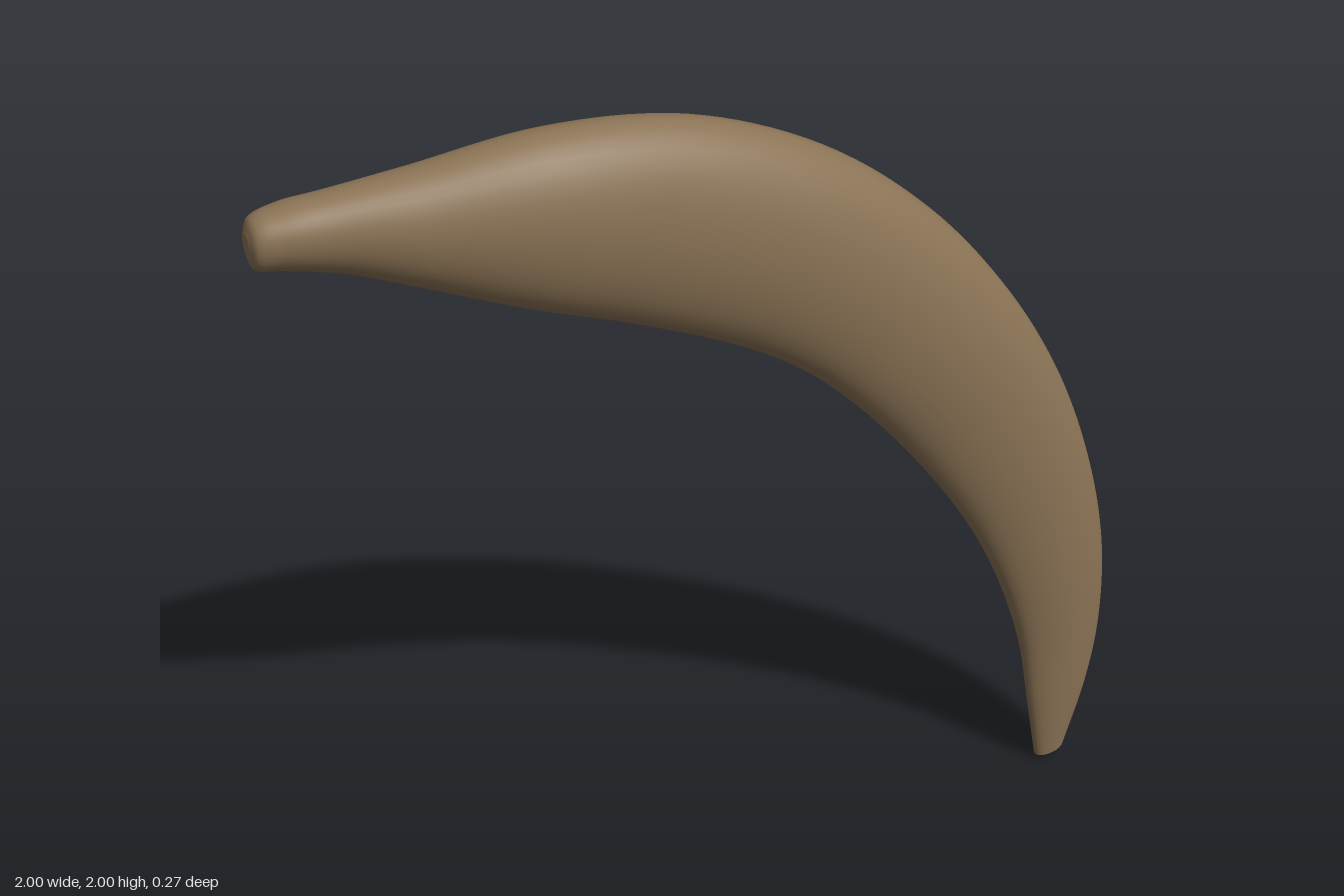
import * as THREE from 'three';

// Sections from the blunt root to the tip:
// outer edge x, y, inner edge x, y, depth centre z, half thickness
const SECTIONS = [
  [-1.0, 1.885, -1.0, 1.835, -0.078, 0.02],
  [-0.985, 1.915, -0.99, 1.81, -0.077, 0.045],
  [-0.93, 1.932, -0.94, 1.8, -0.075, 0.06],
  [-0.84, 1.943, -0.82, 1.77, -0.065, 0.07],
  [-0.68, 1.963, -0.67, 1.71, -0.048, 0.088],
  [-0.4, 2.0, -0.46, 1.625, -0.02, 0.11],
  [-0.1, 1.97, -0.24, 1.542, -0.01, 0.118],
  [0.2, 1.85, 0, 1.435, 0.007, 0.117],
  [0.45, 1.66, 0.15, 1.34, 0.022, 0.11],
  [0.65, 1.43, 0.29, 1.21, 0.032, 0.102],
  [0.81, 1.17, 0.45, 1.02, 0.034, 0.091],
  [0.92, 0.9, 0.6, 0.8, 0.034, 0.08],
  [0.98, 0.65, 0.7, 0.6, 0.034, 0.07],
  [0.995, 0.42, 0.77, 0.4, 0.034, 0.056],
  [0.975, 0.23, 0.81, 0.21, 0.033, 0.043],
  [0.93, 0.04, 0.85, 0.015, 0.03, 0.027],
];
const RINGS = 120;
const SIDES = 40;

function meshGeometry(points, index) {
  const geometry = new THREE.BufferGeometry();
  geometry.setAttribute('position', new THREE.Float32BufferAttribute(points, 3));
  geometry.setIndex(index);
  geometry.computeVertexNormals();
  return geometry;
}

export function createModel() {
  const group = new THREE.Group();
  group.name = 'curvedTusk';
  const brown = new THREE.MeshStandardMaterial({ color: 0x8b7355 });
  brown.name = 'dull brown';

  // Paired curves carry the edges, depth and thickness along the tusk
  const outer = new THREE.CatmullRomCurve3(SECTIONS.map(s => new THREE.Vector3(s[0], s[1], s[4])));
  const inner = new THREE.CatmullRomCurve3(SECTIONS.map(s => new THREE.Vector3(s[2], s[3], s[5])));

  const ringAt = t => {
    const o = outer.getPoint(t), n = inner.getPoint(t);
    const ring = [];
    for (let j = 0; j < SIDES; j++) {
      const a = (j / SIDES) * Math.PI * 2;
      const k = (1 + Math.cos(a)) / 2;
      // Slightly fuller towards the outer edge
      const depth = n.z * Math.sin(a) * (1 + 0.1 * Math.cos(a));
      ring.push(n.x + (o.x - n.x) * k, n.y + (o.y - n.y) * k, o.z + depth);
    }
    return ring;
  };

  // Body, closed by a rounded root
  const points = [], index = [];
  for (let i = 0; i <= RINGS; i++) points.push(...ringAt(i / RINGS));
  for (let i = 0; i < RINGS; i++) {
    for (let j = 0; j < SIDES; j++) {
      const k = (j + 1) % SIDES;
      const a = i * SIDES + j, b = i * SIDES + k;
      index.push(a, b, a + SIDES, b, b + SIDES, a + SIDES);
    }
  }
  const root = points.length / 3;
  points.push(-1.002, 1.86, -0.078);
  for (let j = 0; j < SIDES; j++) index.push(root, (j + 1) % SIDES, j);
  const body = new THREE.Mesh(meshGeometry(points, index), brown);
  body.name = 'body';
  group.add(body);

  // Blunt broken tip, hollowed a little in the middle
  const rim = ringAt(1), capIndex = [];
  rim.push(0.893, 0.05, 0.03);
  for (let j = 0; j < SIDES; j++) capIndex.push(SIDES, j, (j + 1) % SIDES);
  const tip = new THREE.Mesh(meshGeometry(rim, capIndex), brown);
  tip.name = 'brokenTip';
  group.add(tip);

  // Small splinter beside the break
  const splinter = new THREE.Mesh(new THREE.ConeGeometry(0.018, 0.06, 8), brown);
  splinter.name = 'tipSplinter';
  splinter.rotation.z = Math.PI;
  splinter.position.set(0.875, 0.03, 0.03);
  group.add(splinter);

  return group;
}
